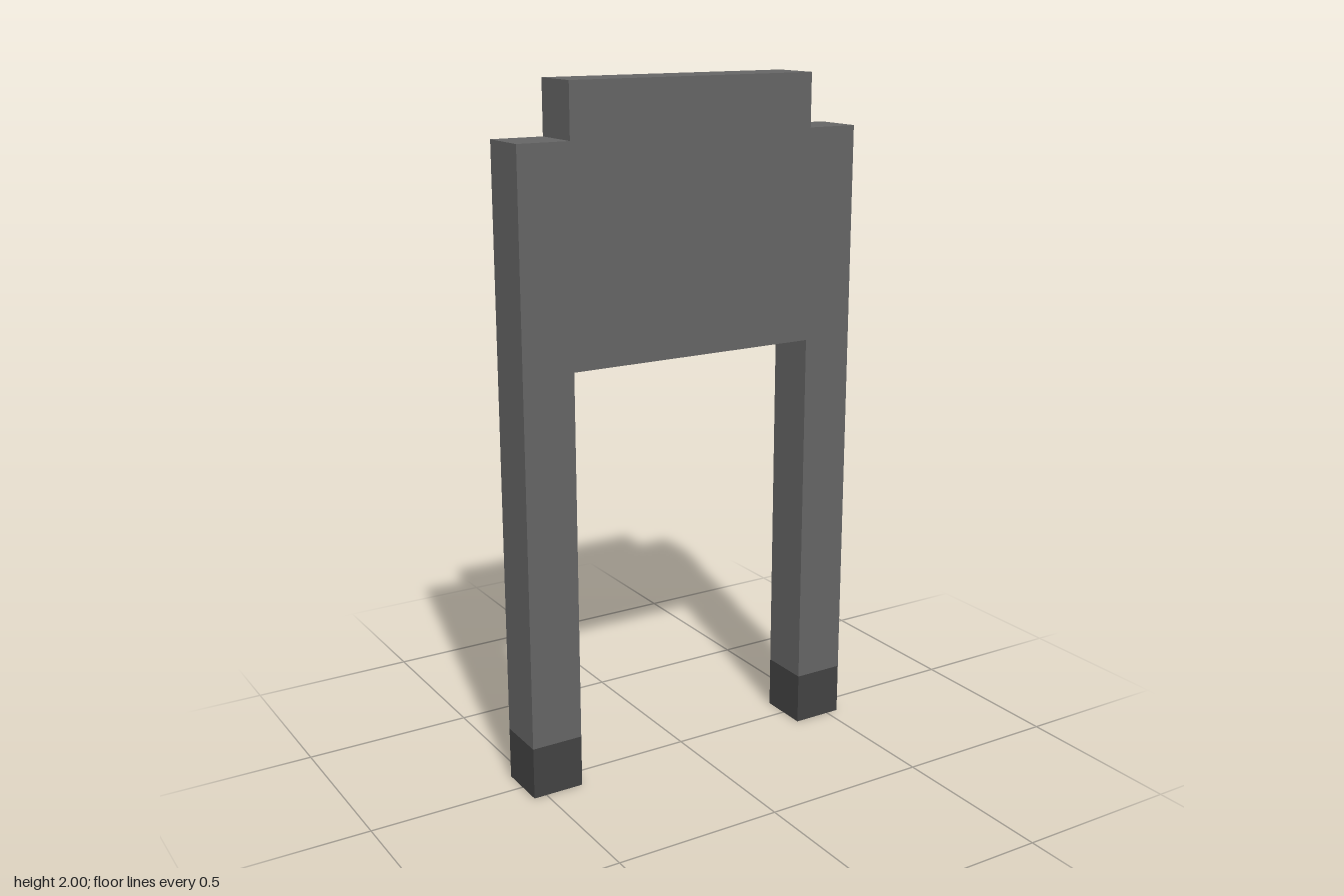
import * as THREE from 'three';

const U = 2 / 13; // one block of the model's grid

export function createModel() {
  const model = new THREE.Group();
  model.name = 'steppedArch';
  const grey = new THREE.MeshStandardMaterial({ color: 0x646464 });
  grey.name = 'grey';
  const darkGrey = new THREE.MeshStandardMaterial({ color: 0x424242 });
  darkGrey.name = 'darkGrey';

  // Adds an upright slab, one block deep, given in blocks
  const addSlab = (name, material, x, bottom, width, height) => {
    const mesh = new THREE.Mesh(new THREE.BoxGeometry(width * U, height * U, U), material);
    mesh.name = name;
    mesh.position.set(x * U, (bottom + height / 2) * U, 0);
    model.add(mesh);
  };

  // Raised panel between the legs
  addSlab('panel', grey, 0, 8, 5, 5);

  // Legs with dark feet
  for (const [side, s] of [['left', 1], ['right', -1]]) {
    addSlab(`${side}Leg`, grey, s * 3, 1, 1, 11);
    addSlab(`${side}Foot`, darkGrey, s * 3, 0, 1, 1);
  }
  return model;
}
